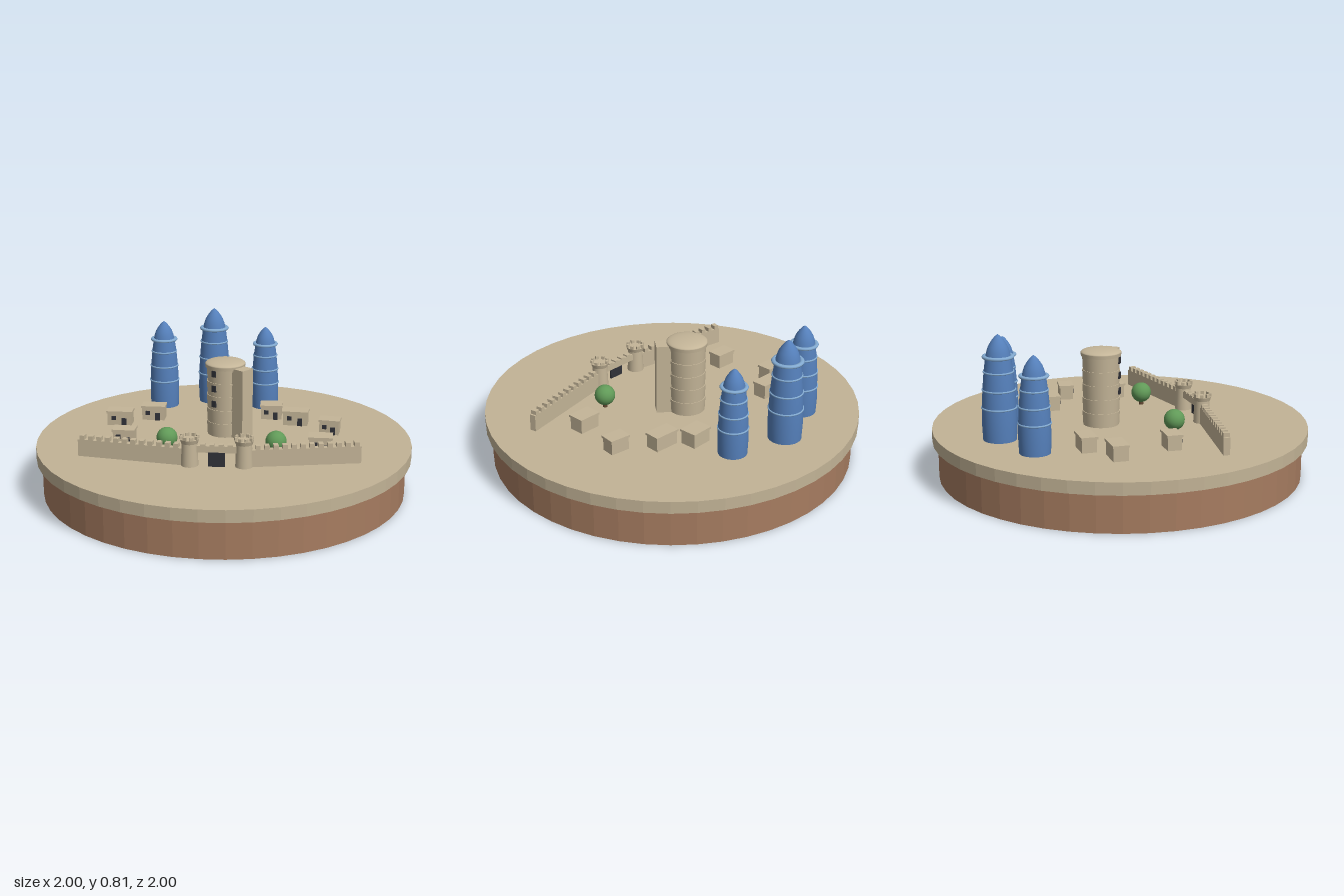
import * as THREE from 'three';

const mat = (name, color, extra = {}) => {
  const m = new THREE.MeshStandardMaterial({ color, ...extra });
  m.name = name;
  return m;
};

export function createModel() {
  const sand = mat('sand', 0xc2b396, { flatShading: true });
  const stone = mat('stone', 0xc4b598);
  const earth = mat('earth', 0xa67c60, { flatShading: true });
  const blue = mat('tower blue', 0x5580bb);
  const paleBlue = mat('pale blue', 0x83abd2);
  const leaf = mat('leaf green', 0x619a58);
  const bark = mat('bark', 0x5f4630);
  const dark = mat('dark opening', 0x303138);

  const root = new THREE.Group();
  root.name = 'walledTown';
  const G = 0.265; // ground level

  const group = (name, x, y, z, ry = 0) => {
    const g = new THREE.Group();
    g.name = name;
    g.position.set(x, y, z);
    g.rotation.y = ry;
    root.add(g);
    return g;
  };
  const add = (parent, name, geo, material, x = 0, y = 0, z = 0, ry = 0) => {
    const m = new THREE.Mesh(geo, material);
    m.name = name;
    m.position.set(x, y, z);
    m.rotation.y = ry;
    parent.add(m);
    return m;
  };
  const box = (w, h, d) => new THREE.BoxGeometry(w, h, d);
  const cyl = (rt, rb, h, n = 32) => new THREE.CylinderGeometry(rt, rb, h, n);
  const lathe = (pts, n = 32) => new THREE.LatheGeometry(pts.map(p => new THREE.Vector2(...p)), n);

  // Round base and ground slab
  add(root, 'earthBase', cyl(0.97, 0.97, 0.2, 48), earth, 0, 0.1, 0);
  add(root, 'groundSlab', cyl(1, 1, G - 0.2, 48), sand, 0, (G + 0.2) / 2, 0);

  // Tapered blue towers with pale rings and pointed caps
  const body = [[0.93, 0], [0.97, 0.15], [0.95, 0.31], [0.9, 0.48], [0.81, 0.65], [0.7, 0.79]];
  const cap = [[0.68, 0.8], [0.63, 0.84], [0.53, 0.89], [0.35, 0.94], [0.16, 0.98], [0, 1]];
  for (const [x, z, R, H] of [[-0.17, -0.67, 0.085, 0.497], [0.13, -0.68, 0.093, 0.55], [0.38, -0.49, 0.08, 0.47]]) {
    const t = group('blueTower', x, G, z);
    const scale = list => list.map(([r, y]) => [r * R, y * H]);
    add(t, 'towerBody', lathe(scale(body)), blue);
    add(t, 'towerCap', lathe(scale(cap)), blue);
    for (const i of [2, 3, 4]) {
      const ring = new THREE.TorusGeometry(body[i][0] * R, 0.005, 8, 32).rotateX(Math.PI / 2);
      add(t, 'towerRing', ring, paleBlue, 0, body[i][1] * H, 0);
    }
    const collar = new THREE.TorusGeometry(0.76 * R, 0.14 * R, 8, 32).rotateX(Math.PI / 2).scale(1, 0.7, 1);
    add(t, 'towerCollar', collar, paleBlue, 0, 0.79 * H, 0);
  }

  // Central keep: stacked drums, shallow domed roof, side pier and windows
  const keep = group('keep', 0.035, G, -0.1);
  const drum = 0.075;
  for (let i = 0; i < 5; i++) {
    add(keep, 'keepDrum', cyl(0.1, 0.096, drum, 40), stone, 0, drum * (i + 0.5), 0);
  }
  add(keep, 'keepRim', cyl(0.108, 0.106, 0.018, 40), stone, 0, 0.382, 0);
  const dome = new THREE.SphereGeometry(0.108, 40, 10, 0, Math.PI * 2, 0, Math.PI / 2).scale(1, 0.2, 1);
  add(keep, 'keepRoof', dome, stone, 0, 0.391, 0);
  const pier = group('pier', 0.035, G, -0.1, Math.PI / 6);
  add(pier, 'keepPier', box(0.08, 0.385, 0.115), stone, 0, 0.1925, 0.108);
  const slits = group('keepWindows', 0.035, G, -0.1, -0.92);
  for (const y of [0.185, 0.27, 0.352]) add(slits, 'keepWindow', box(0.026, 0.034, 0.009), dark, 0, y, 0.1);

  // Battlemented wall between two ground points
  const wall = (name, [x0, z0], [x1, z1], y0, y1, thick, merlon) => {
    const len = Math.hypot(x1 - x0, z1 - z0);
    const w = group(name, (x0 + x1) / 2, G, (z0 + z1) / 2, Math.atan2(z0 - z1, x1 - x0));
    add(w, 'wallBody', box(len, y1 - y0, thick), stone, 0, (y0 + y1) / 2, 0);
    const n = Math.round(len / 0.045);
    for (let i = 0; i < n; i++) {
      add(w, 'merlon', box(len / n * 0.55, merlon, thick), stone, ((i + 0.5) / n - 0.5) * len, y1 + merlon / 2, 0);
    }
    return w;
  };
  const leftPost = [-0.275, 0.34], rightPost = [-0.015, 0.435];
  wall('westWall', [-0.79, 0.045], leftPost, 0, 0.09, 0.034, 0.022);
  wall('eastWall', rightPost, [0.575, 0.535], 0, 0.09, 0.034, 0.022);
  const gate = wall('gatehouse', leftPost, rightPost, 0.073, 0.108, 0.034, 0.008);
  add(gate, 'gateDoor', box(0.085, 0.075, 0.009), dark, 0, 0.0375, 0.016);

  // Round gate towers
  for (const [x, z] of [leftPost, rightPost]) {
    const t = group('gateTower', x, G, z);
    add(t, 'gateTowerBody', cyl(0.04, 0.045, 0.12, 24), stone, 0, 0.06, 0);
    add(t, 'gateTowerTop', cyl(0.05, 0.043, 0.022, 24), stone, 0, 0.131, 0);
    for (let i = 0; i < 8; i++) {
      const a = i * Math.PI / 4;
      add(t, 'merlon', box(0.018, 0.018, 0.013), stone, 0.043 * Math.sin(a), 0.15, 0.043 * Math.cos(a), a);
    }
  }

  // Houses with flat lids, a door and a window
  const houses = [
    [-0.485, -0.4, 0.143, 0.087, -0.38], [-0.285, -0.44, 0.135, 0.087, -0.37], [-0.525, -0.085, 0.122, 0.084, -0.4],
    [0.355, -0.28, 0.125, 0.098, -0.34], [0.45, -0.135, 0.145, 0.087, -0.42], [0.58, 0.06, 0.115, 0.083, -0.5],
    [0.44, 0.305, 0.128, 0.093, -0.37],
  ];
  for (const [x, z, w, d, ry] of houses) {
    const h = group('house', x, G, z, ry);
    add(h, 'houseWalls', box(w - 0.01, 0.07, d - 0.01), stone, 0, 0.035, 0);
    add(h, 'houseRoof', box(w, 0.012, d), stone, 0, 0.075, 0);
    const front = d / 2 - 0.003;
    add(h, 'houseDoor', box(0.026, 0.042, 0.008), dark, w * 0.18, 0.021, front);
    add(h, 'houseWindow', box(0.024, 0.022, 0.008), dark, -w * 0.22, 0.042, front);
  }

  // Round trees
  for (const [x, z] of [[-0.335, 0.095], [0.195, 0.305]]) {
    const t = group('tree', x, G, z);
    add(t, 'trunk', cyl(0.01, 0.013, 0.04, 10), bark, 0, 0.02, 0);
    add(t, 'crown', new THREE.SphereGeometry(0.055, 20, 14), leaf, 0, 0.07, 0);
  }
  return root;
}
